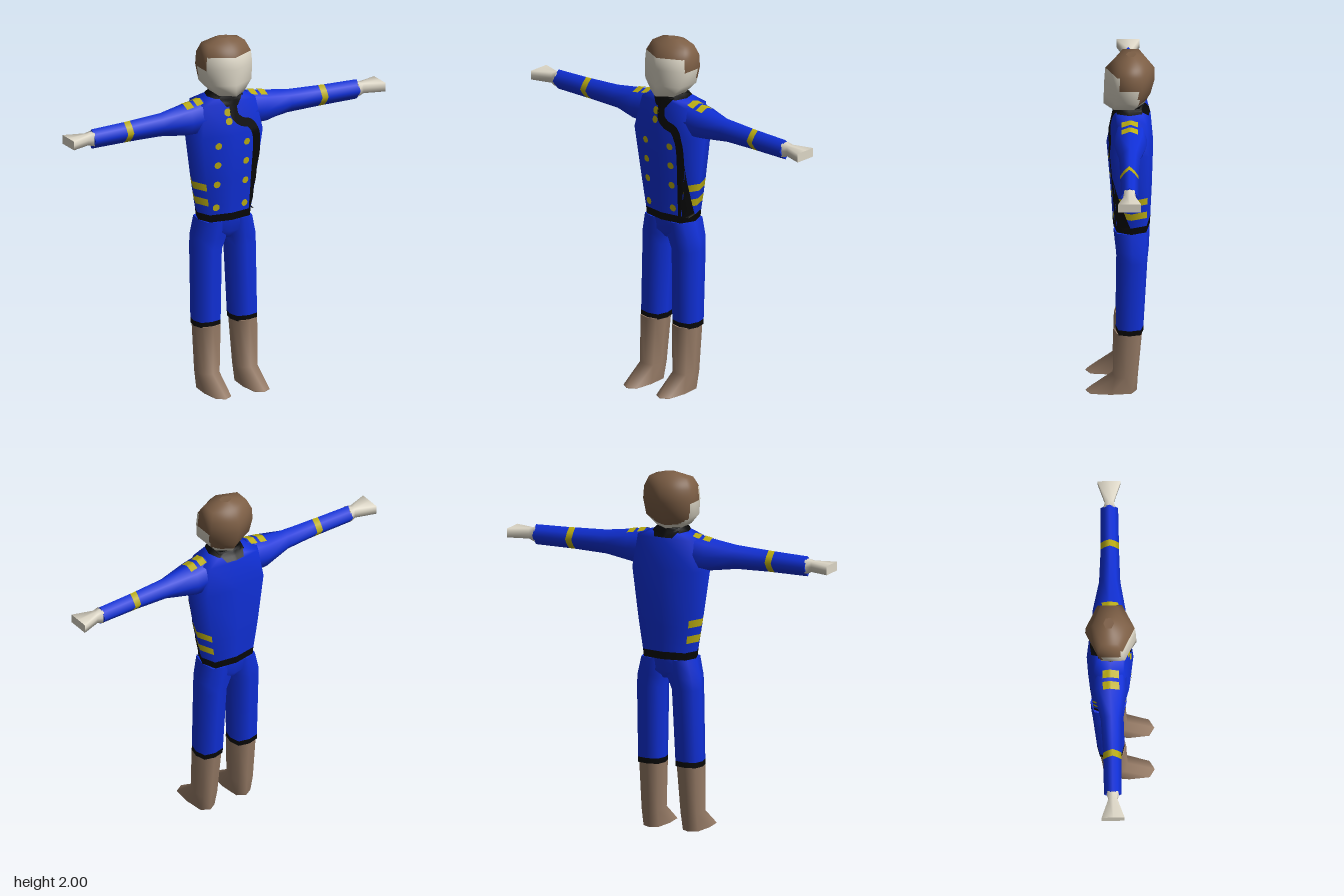
import * as THREE from 'three';

const mat = (name, color) => {
  const m = new THREE.MeshStandardMaterial({ color });
  m.name = name;
  return m;
};

// Eight-sided section: k = 0.5 is a diamond, k = 1 a box
const oct = (hu, hv, k) =>
  [[0, 1], [k, k], [1, 0], [k, -k], [0, -1], [-k, -k], [-1, 0], [-k, k]].map(([u, v]) => [u * hu, v * hv]);
// Six-sided section with a point at the front and back
const hex = (hu, hv) => [[0, 1], [1, 0.5], [1, -0.5], [0, -1], [-1, -0.5], [-1, 0.5]].map(([u, v]) => [u * hu, v * hv]);

const V = (x, y, z) => new THREE.Vector3(x, y, z);
// Horizontal ring from [y, half width, front z, back z]
const ringY = ([y, w, zf, zb], cx = 0, section = oct, k = 0.8) =>
  section(w, (zf - zb) / 2, k).map(([u, v]) => V(cx + u, y, (zf + zb) / 2 + v));
// Upright ring across an arm from [x, y centre, y half, z centre, z half, k]
const ringX = ([x, yc, hy, zc, hz, k], s) => oct(hz, hy, k).map(([u, v]) => V(s * x, yc + v, zc + u));

// Skin over rings with smooth normals and end caps; paint(row, segment, centre) picks the material
function loft(name, rings, paint, sub = 1) {
  const n = rings[0].length, rows = rings.length - 1;
  const mid = rings.flat().reduce((a, p) => a.add(p), V(0, 0, 0)).divideScalar(n * rings.length);
  let volume = 0;
  for (let r = 0; r < rows; r++) for (let i = 0; i < n; i++) {
    const [a, b, c] = [rings[r][i], rings[r][(i + 1) % n], rings[r + 1][i]].map(p => p.clone().sub(mid));
    volume += a.dot(b.cross(c));
  }
  if (volume < 0) rings = rings.map(r => [...r].reverse());

  // Vertex normals of the plain rings
  const normals = rings.map(r => r.map(() => V(0, 0, 0)));
  for (let r = 0; r < rows; r++) for (let i = 0; i < n; i++) {
    const j = (i + 1) % n, a = rings[r][i], b = rings[r][j], c = rings[r + 1][i], d = rings[r + 1][j];
    const f = d.clone().sub(a).cross(c.clone().sub(b));
    for (const [q, t] of [[r, i], [r, j], [r + 1, i], [r + 1, j]]) normals[q][t].add(f);
  }
  normals.flat().forEach(v => v.normalize());

  const mats = [], buckets = [];
  const add = (m, pts, nrm) => {
    let k = mats.indexOf(m);
    if (k < 0) { k = mats.push(m) - 1; buckets.push([]); }
    pts.forEach((p, q) => buckets[k].push([p, nrm[q]]));
  };
  const at = (grid, r, i, u, v) => {
    const j = (i + 1) % n;
    return grid[r][i].clone().lerp(grid[r][j], u).lerp(grid[r + 1][i].clone().lerp(grid[r + 1][j], u), v);
  };
  for (let r = 0; r < rows; r++) for (let i = 0; i < n; i++)
    for (let a = 0; a < sub; a++) for (let b = 0; b < sub; b++) {
      const uv = [[a, b], [a + 1, b], [a, b + 1], [a + 1, b], [a + 1, b + 1], [a, b + 1]];
      const m = paint(r, i, at(rings, r, i, (a + 0.5) / sub, (b + 0.5) / sub));
      add(m, uv.map(([u, v]) => at(rings, r, i, u / sub, v / sub)),
        uv.map(([u, v]) => at(normals, r, i, u / sub, v / sub).normalize()));
    }
  for (const r of [0, rows]) {
    const c = rings[r].reduce((s, p) => s.add(p), V(0, 0, 0)).divideScalar(n);
    const m = paint(r ? rows - 1 : 0, 0, c);
    for (let i = 0; i < n; i++) {
      const p = rings[r][i], q = rings[r][(i + 1) % n], tri = r ? [c, p, q] : [c, q, p];
      const f = tri[1].clone().sub(c).cross(tri[2].clone().sub(c)).normalize();
      add(m, tri, [f, f, f]);
    }
  }
  const g = new THREE.BufferGeometry(), all = buckets.flat();
  g.setAttribute('position', new THREE.Float32BufferAttribute(all.flatMap(e => e[0].toArray()), 3));
  g.setAttribute('normal', new THREE.Float32BufferAttribute(all.flatMap(e => e[1].toArray()), 3));
  let start = 0;
  buckets.forEach((b, k) => { g.addGroup(start, b.length, k); start += b.length; });
  const mesh = new THREE.Mesh(g, mats);
  mesh.name = name;
  return mesh;
}

export function createModel() {
  const blue = mat('uniform blue', 0x1030d8), black = mat('trim black', 0x080808);
  const gold = mat('gold', 0xbcae12), skin = mat('skin', 0xdcd6c6);
  const hair = mat('hair brown', 0x7c5e45), boot = mat('boot brown', 0x967b66);
  black.side = gold.side = THREE.DoubleSide;
  const model = new THREE.Group();
  model.name = 'uniformedFigure';

  // Jacket body with belt, side stripes and collar
  const torso = [[0.97, 0.155, 0.04, -0.162], [1.012, 0.16, 0.042, -0.164], [1.065, 0.17, 0.045, -0.166],
    [1.108, 0.178, 0.048, -0.168], [1.155, 0.186, 0.051, -0.17], [1.197, 0.193, 0.054, -0.172],
    [1.47, 0.235, 0.075, -0.18], [1.645, 0.2, 0.04, -0.165], [1.675, 0.105, 0.034, -0.135], [1.698, 0.08, 0.028, -0.12]];
  const isSide = i => [1, 2, 5, 6].includes(i);
  const jacket = loft('jacket', torso.map(t => ringY(t)), (r, i) =>
    r === 0 || r === 8 ? black : (r === 2 || r === 4) && isSide(i) ? gold : blue);
  model.add(jacket);
  const cloth = [jacket];

  // Head with hair painted by height and depth
  const head = [[1.685, 0.06, 0.03, -0.11], [1.7, 0.078, 0.092, -0.13], [1.76, 0.13, 0.09, -0.165],
    [1.85, 0.14, 0.087, -0.188], [1.92, 0.134, 0.082, -0.187], [1.975, 0.112, 0.03, -0.145], [2, 0.03, -0.03, -0.09]];
  model.add(loft('head', head.map(h => ringY(h, 0, hex)), (r, i, p) =>
    p.y > 1.92 || (p.z < 0 && p.y > 1.84) || (p.z < -0.1 && p.y > 1.715) ? hair : skin, 10));

  // Hips
  model.add(loft('hips', [[0.97, 0.155, 0.04, -0.162], [0.9, 0.168, 0.028, -0.155], [0.86, 0.1, 0.0, -0.13]]
    .map(h => ringY(h)), () => blue));

  for (const s of [1, -1]) {
    const side = s > 0 ? 'left' : 'right';

    // Sleeve with a gold band
    const sleeve = loft(side + 'Sleeve', [[0.14, 1.57, 0.1, -0.055, 0.09, 0.75], [0.235, 1.562, 0.092, -0.055, 0.09, 0.72],
      [0.4, 1.5625, 0.067, -0.05, 0.058, 0.6], [0.59, 1.56, 0.06, -0.047, 0.05, 0.56], [0.628, 1.559, 0.059, -0.047, 0.05, 0.56],
      [0.83, 1.556, 0.056, -0.047, 0.048, 0.55]].map(a => ringX(a, s)), r => (r === 3 ? gold : blue));
    model.add(sleeve);
    cloth.push(sleeve);

    // Hand
    model.add(loft(side + 'Hand', [[0.825, 1.557, 0.045, -0.047, 0.036, 0.8], [0.862, 1.56, 0.029, -0.047, 0.024, 0.95],
      [0.976, 1.56, 0.025, -0.047, 0.063, 1]].map(a => ringX(a, s)), () => skin));

    // Trouser leg with a black hem: [y, inner x, outer x, front z, back z]
    const limb = ([y, xi, xo, zf, zb]) => ringY([y, (xo - xi) / 2, zf, zb], s * (xi + xo) / 2);
    model.add(loft(side + 'Trouser', [[0.97, 0, 0.155, 0.038, -0.16], [0.865, 0, 0.184, 0.026, -0.155],
      [0.8, 0.026, 0.187, 0.02, -0.148], [0.395, 0.038, 0.19, 0.025, -0.126], [0.365, 0.039, 0.19, 0.026, -0.125]]
      .map(limb), r => (r === 3 ? black : blue)));

    // Boot
    model.add(loft(side + 'Boot', [[0.37, 0.044, 0.185, 0.034, -0.12], [0.1, 0.058, 0.18, 0.042, -0.096],
      [0.005, 0.062, 0.178, 0.188, -0.09], [0, 0.062, 0.178, 0.19, -0.088]].map(limb), () => boot));
  }

  // Lay a flat grid of points onto the jacket along a direction
  const ray = new THREE.Raycaster();
  const drape = (name, material, dir, nu, nv, point) => {
    const g = new THREE.PlaneGeometry(1, 1, nu, nv), pos = g.attributes.position, uv = g.attributes.uv;
    for (let i = 0; i < pos.count; i++) {
      const p = point(uv.getX(i), uv.getY(i));
      ray.set(p.clone().addScaledVector(dir, -3), dir);
      const hit = ray.intersectObjects(cloth)[0];
      const q = (hit ? hit.point : p).clone().addScaledVector(dir, -0.005);
      pos.setXYZ(i, q.x, q.y, q.z);
    }
    g.computeVertexNormals();
    const mesh = new THREE.Mesh(g, material);
    mesh.name = name;
    model.add(mesh);
  };
  const onFront = V(0, 0, -1), onBack = V(0, 0, 1), onTop = V(0, -1, 0);

  // Black edge running down the front opening
  const edge = new THREE.CatmullRomCurve3([[0.005, 1.66], [0.012, 1.575], [0.05, 1.538], [0.105, 1.517], [0.14, 1.455],
    [0.142, 1.2], [0.135, 1.0]].map(([x, y]) => V(x, y, 0)), false, 'centripetal');
  drape('frontEdge', black, onFront, 4, 60, (u, v) => {
    const p = edge.getPointAt(1 - v), t = edge.getTangentAt(1 - v);
    return p.add(V(-t.y, t.x, 0).multiplyScalar((u - 0.5) * 0.048));
  });

  // Collar flaps at the throat and nape
  drape('collarFront', black, onFront, 10, 8, (u, v) => V((u - 0.5) * (0.07 + 0.09 * v), 1.63 + 0.062 * v, 0));
  drape('collarBack', black, onBack, 10, 6, (u, v) => V((0.5 - u) * (0.11 + 0.05 * v), 1.652 + 0.04 * v, 0));

  // Buttons
  const button = (x, y, r) => drape('button', gold, onFront, 12, 2, (u, v) =>
    V(x + r * v * Math.cos(u * Math.PI * 2), y + r * v * Math.sin(u * Math.PI * 2), 0));
  for (const y of [1.418, 1.305, 1.19, 1.055]) for (const x of [-0.095, 0.081]) button(x, y, 0.02);
  button(-0.03, 1.6, 0.022);
  button(-0.028, 1.55, 0.02);

  // Shoulder bars
  for (const s of [1, -1]) for (const x of [0.17, 0.232])
    drape('shoulderBar', gold, onTop, 4, 10, (u, v) => V(s * x + (u - 0.5) * 0.042, 0, -0.005 - 0.09 * (1 - v)));

  return model;
}
